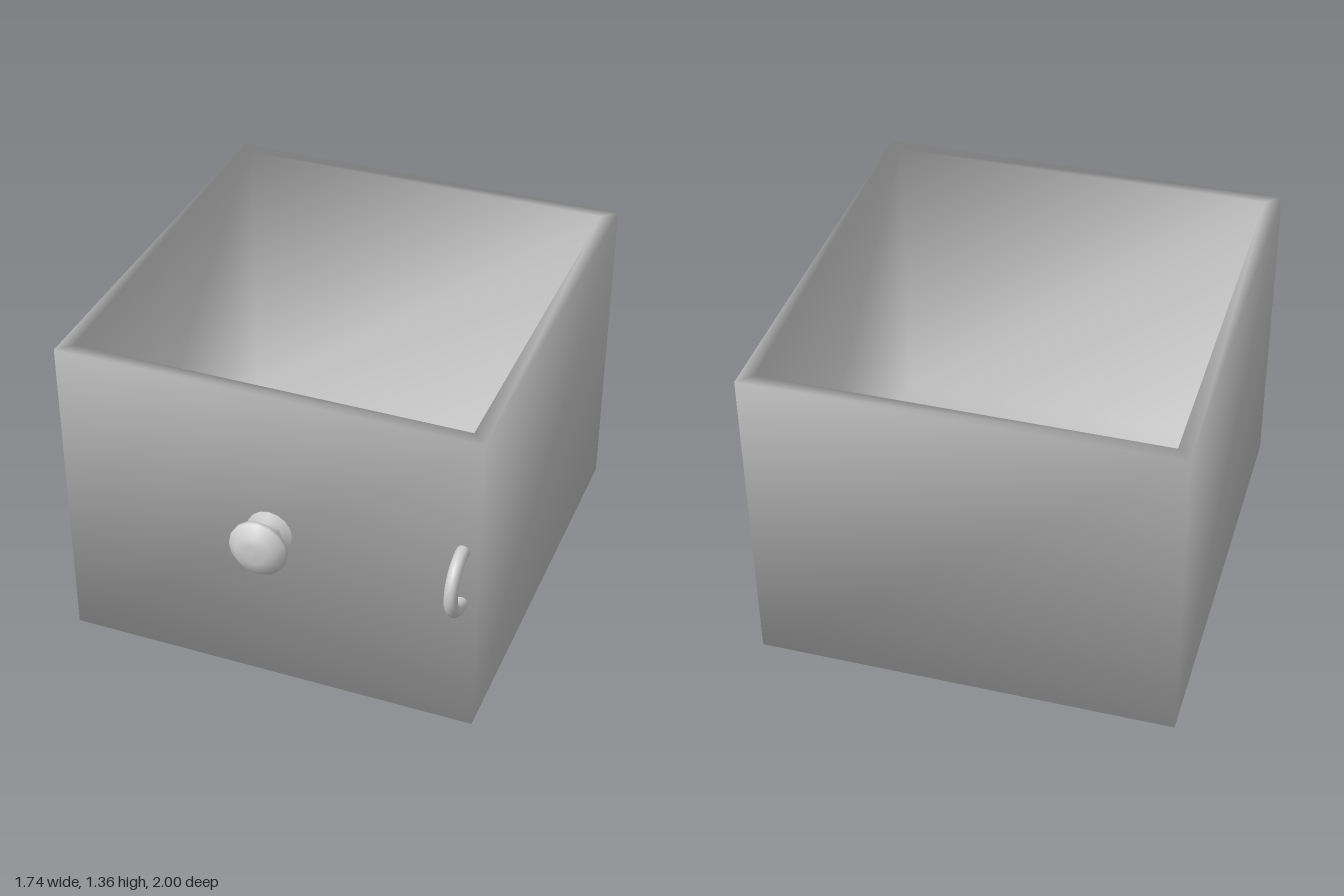
import * as THREE from 'three';

const material = new THREE.MeshStandardMaterial({ color: 0xcccccc });

function part(name, geometry, x = 0, y = 0, z = 0) {
  const mesh = new THREE.Mesh(geometry, material);
  mesh.name = name;
  mesh.position.set(x, y, z);
  return mesh;
}

// Open box skinned through rectangular loops; shared corners keep it smooth-shaded
function openBox(loops) {
  const positions = [];
  const index = [];
  for (const [x, y, zBack, zFront] of loops) {
    positions.push(-x, y, zFront, x, y, zFront, x, y, zBack, -x, y, zBack);
  }
  for (let i = 0; i < loops.length - 1; i++) {
    for (let j = 0; j < 4; j++) {
      const a = i * 4 + j;
      const b = i * 4 + (j + 1) % 4;
      index.push(a, b, b + 4, a, b + 4, a + 4);
    }
  }
  const k = (loops.length - 1) * 4;
  index.push(0, 2, 1, 0, 3, 2); // underside
  index.push(k, k + 1, k + 2, k, k + 2, k + 3); // inner floor
  const geometry = new THREE.BufferGeometry();
  geometry.setAttribute('position', new THREE.Float32BufferAttribute(positions, 3));
  geometry.setIndex(index);
  geometry.computeVertexNormals();
  return geometry;
}

export function createModel() {
  const model = new THREE.Group();
  model.name = 'drawer';

  // Drawer body: outer bottom, outer top, inner top, inner floor
  model.add(part('drawerBox', openBox([
    [0.87, 0, -1, 0.83],
    [0.87, 1.36, -1, 0.83],
    [0.81, 1.36, -0.94, 0.77],
    [0.81, 0.06, -0.94, 0.77],
  ])));

  // Turned knob: flange, stem and domed head
  const profile = [
    [0, 0], [0.095, 0], [0.095, 0.008], [0.06, 0.02], [0.052, 0.03],
    [0.052, 0.095], [0.105, 0.095], [0.12, 0.105], [0.12, 0.125],
    [0.08, 0.163], [0.04, 0.168], [0, 0.17],
  ].map(([r, h]) => new THREE.Vector2(r, h));
  const knob = new THREE.LatheGeometry(profile, 16).rotateX(Math.PI / 2);
  model.add(part('knob', knob, 0.018, 0.73, 0.83));

  // Half-ring pull, its ends sunk into the front panel
  const sink = 0.15;
  const ring = new THREE.TorusGeometry(0.125, 0.027, 12, 24, Math.PI + 2 * sink)
    .rotateZ(-Math.PI / 2 - sink)
    .rotateY(-Math.PI / 2);
  model.add(part('ringPull', ring, 0.806, 0.733, 0.84));

  return model;
}
